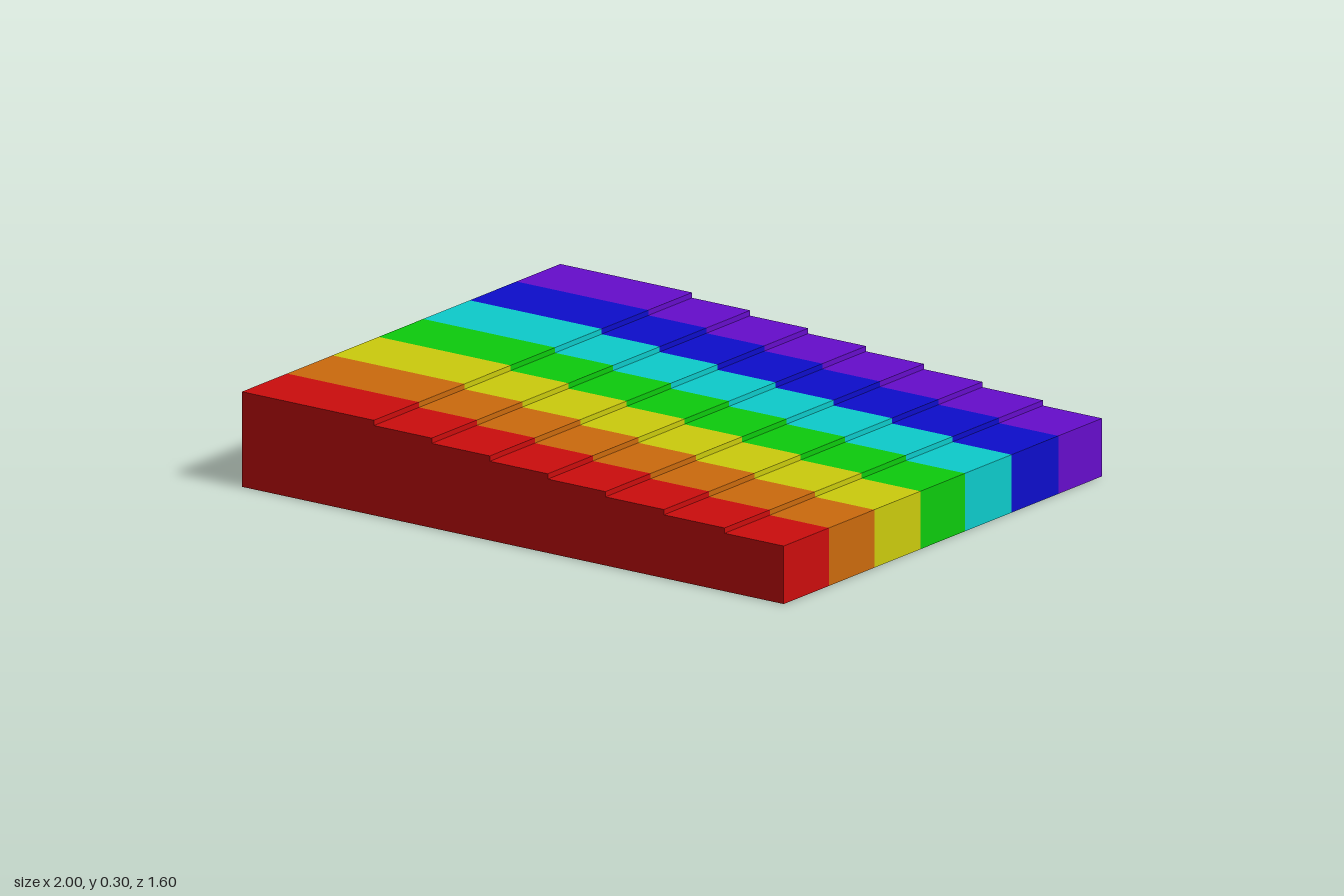
import * as THREE from 'three';

// Stripes from front (+z) to back: name, colour
const STRIPES = [
  ['red', 0xcc0d0d],
  ['orange', 0xcc6a0d],
  ['yellow', 0xcccc0d],
  ['green', 0x0dcc0d],
  ['cyan', 0x0dcccc],
  ['blue', 0x0d0dcc],
  ['violet', 0x660dcc],
];
const Z_EDGES = [0.8, 0.573, 0.345, 0.113, -0.111, -0.345, -0.58, -0.8];

// Stair profile, dropping evenly towards +x
const X_EDGES = [-1, -0.513, -0.299, -0.085, 0.129, 0.342, 0.558, 0.782, 1];
const TOP = 0.296;
const DROP = 0.0165;

function stairProfile() {
  const shape = new THREE.Shape();
  shape.moveTo(1, 0);
  for (let i = X_EDGES.length - 2; i >= 0; i--) {
    const y = TOP - i * DROP;
    shape.lineTo(X_EDGES[i + 1], y);
    shape.lineTo(X_EDGES[i], y);
  }
  shape.lineTo(-1, 0);
  shape.closePath();
  return shape;
}

export function createModel() {
  const model = new THREE.Group();
  model.name = 'steppedRainbowSlab';
  const profile = stairProfile();

  // One extruded stair slice per colour
  STRIPES.forEach(([name, color], i) => {
    const material = new THREE.MeshStandardMaterial({ color });
    material.name = name;
    const geometry = new THREE.ExtrudeGeometry(profile, {
      depth: Z_EDGES[i] - Z_EDGES[i + 1],
      bevelEnabled: false,
    });
    const stripe = new THREE.Mesh(geometry, material);
    stripe.name = `${name}Stripe`;
    stripe.position.z = Z_EDGES[i + 1];
    model.add(stripe);
  });

  return model;
}
